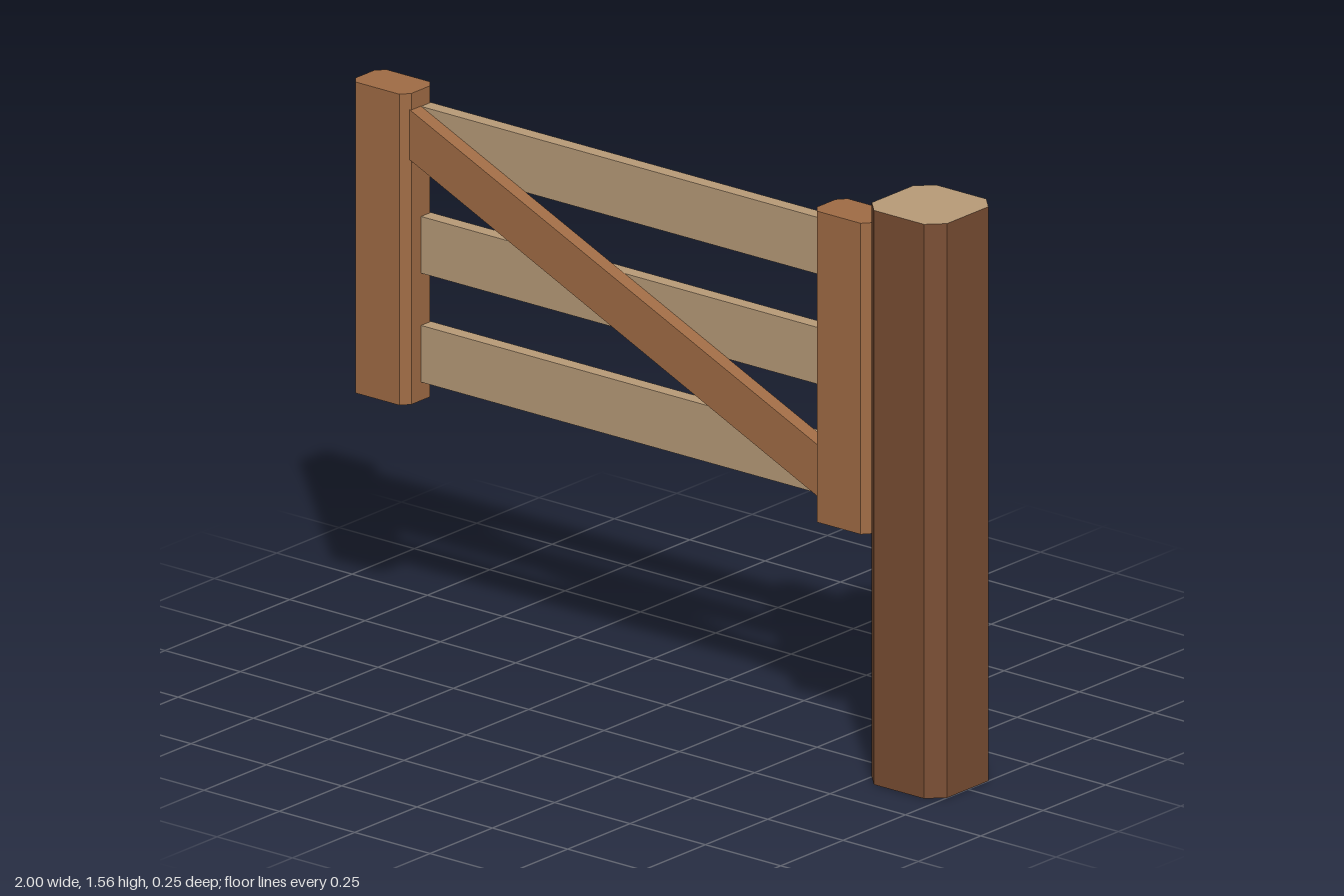
import * as THREE from 'three';

const wood = (color) => new THREE.MeshStandardMaterial({ color, flatShading: true, side: THREE.DoubleSide });
const postWood = wood(0x7a4e33);
const stileWood = wood(0xa06c45);
const railWood = wood(0xb89b78);
const iron = wood(0x5e6265);

function add(parent, name, geometry, material, x = 0, y = 0, z = 0) {
  const mesh = new THREE.Mesh(geometry, material);
  mesh.name = name;
  mesh.position.set(x, y, z);
  parent.add(mesh);
  return mesh;
}

// Upright with chamfered corners, closed on top and open underneath
function chamferedPost(name, w, d, h, cx, cz, material, capMaterial) {
  const group = new THREE.Group();
  group.name = name;
  const a = w / 2, b = d / 2;
  const outline = [
    [a, -b + cz], [a, b - cz], [a - cx, b], [-a + cx, b],
    [-a, b - cz], [-a, -b + cz], [-a + cx, -b], [a - cx, -b],
  ].map(([x, y]) => new THREE.Vector2(x, y));

  const walls = [];
  outline.forEach((p, i) => {
    const q = outline[(i + 1) % outline.length];
    walls.push(p.x, 0, -p.y, q.x, 0, -q.y, q.x, h, -q.y);
    walls.push(p.x, 0, -p.y, q.x, h, -q.y, p.x, h, -p.y);
  });
  const sides = new THREE.BufferGeometry();
  sides.setAttribute('position', new THREE.Float32BufferAttribute(walls, 3));
  sides.computeVertexNormals();
  add(group, name + 'Sides', sides, material);

  const cap = new THREE.ShapeGeometry(new THREE.Shape(outline)).rotateX(-Math.PI / 2);
  add(group, name + 'Top', cap, capMaterial, 0, h, 0);
  return group;
}

export function createModel() {
  const model = new THREE.Group();
  model.name = 'fieldGate';

  // Ground post with a pale cut top
  const post = chamferedPost('groundPost', 0.25, 0.25, 1.56, 0.042, 0.042, postWood, railWood);
  post.position.x = 0.875;
  model.add(post);

  const gate = new THREE.Group();
  gate.name = 'gate';
  model.add(gate);

  // Upright at each end of the gate
  for (const [name, x] of [['latchStile', -0.908], ['hingeStile', 0.623]]) {
    const stile = chamferedPost(name, 0.185, 0.123, 0.845, 0.02, 0.024, stileWood, stileWood);
    stile.position.set(x, 0.64, 0);
    gate.add(stile);
  }

  // Three horizontal rails
  for (const y of [0.767, 1.063, 1.362]) {
    add(gate, 'rail', new THREE.BoxGeometry(1.365, 0.154, 0.04), railWood, -0.1425, y, -0.0215);
  }

  // Diagonal brace in front of the rails
  const brace = new THREE.Shape([
    new THREE.Vector2(-0.82, 1.306), new THREE.Vector2(0.535, 0.701),
    new THREE.Vector2(0.535, 0.841), new THREE.Vector2(-0.82, 1.442),
  ]);
  add(gate, 'brace', new THREE.ExtrudeGeometry(brace, { depth: 0.042, bevelEnabled: false }), stileWood, 0, 0, -0.001);

  // Hinges between gate and ground post
  for (const y of [0.877, 1.255]) {
    add(model, 'hinge', new THREE.BoxGeometry(0.045, 0.187, 0.06), iron, 0.733, y, 0);
  }

  return model;
}
